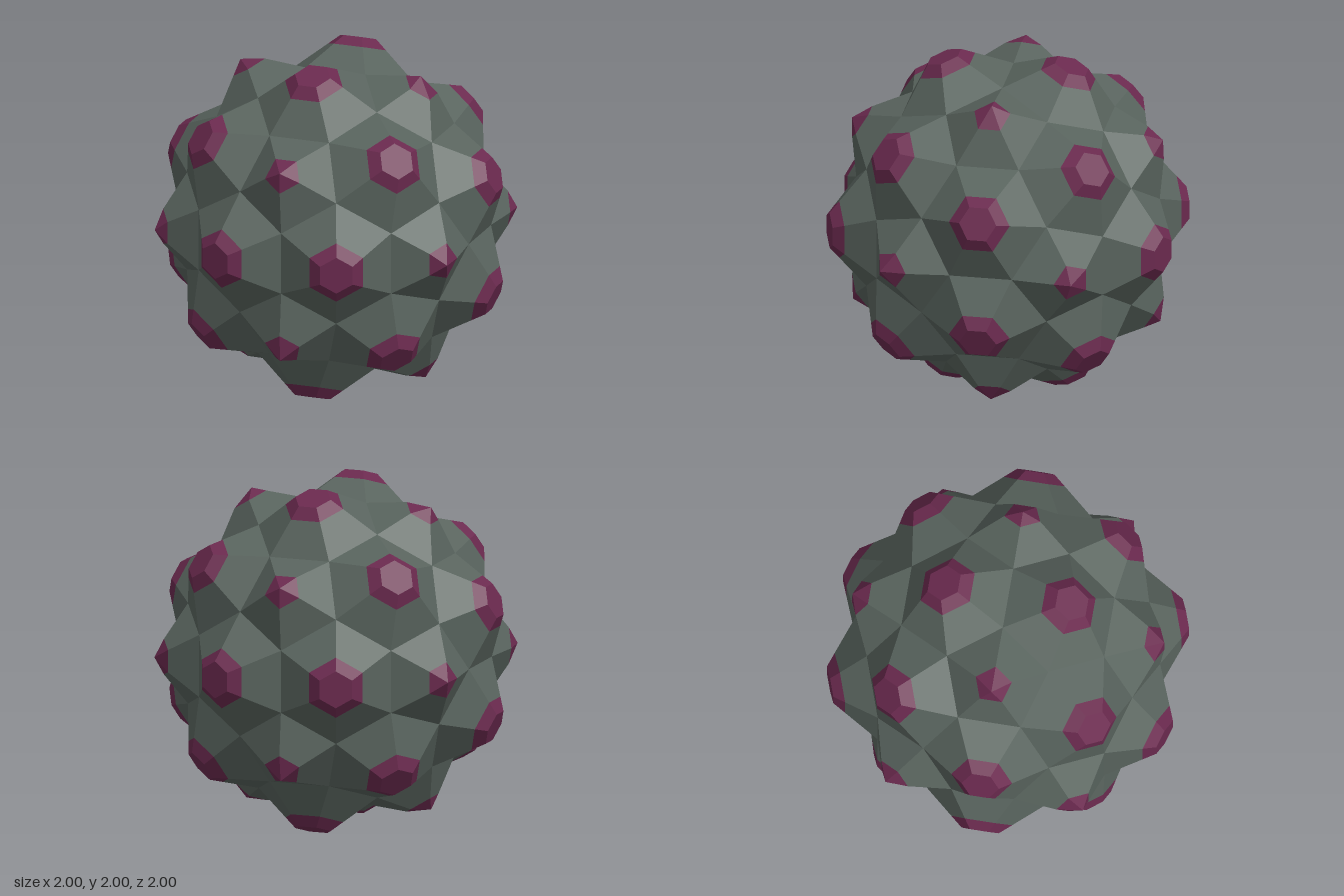
import * as THREE from 'three';

const PHI = (1 + Math.sqrt(5)) / 2;
const SCALE = 0.1815; // half the edge length of the truncated icosahedron

// All sign changes and cyclic permutations of a coordinate triple
function orbit(a, b, c) {
  const found = new Map();
  for (const x of [a, -a]) for (const y of [b, -b]) for (const z of [c, -c]) {
    for (const p of [[x, y, z], [z, x, y], [y, z, x]]) {
      found.set(p.map((n) => (n + 0).toFixed(3).replace('-0.000', '0.000')).join(), new THREE.Vector3(...p));
    }
  }
  return [...found.values()];
}

// Corners of the underlying truncated icosahedron
const corners = [
  ...orbit(0, 1, 3 * PHI),
  ...orbit(1, 2 + PHI, 2 * PHI),
  ...orbit(PHI, 2, 2 * PHI + 1),
].map((v) => v.multiplyScalar(SCALE));

// Corners of the face around an axis, counter-clockwise from outside
function faceLoop(axis) {
  const top = Math.max(...corners.map((v) => v.dot(axis)));
  const loop = corners.filter((v) => v.dot(axis) > top - 1e-3);
  const u = loop[0].clone().addScaledVector(axis, -top).normalize();
  const w = axis.clone().cross(u);
  return loop.sort((a, b) => Math.atan2(a.dot(w), a.dot(u)) - Math.atan2(b.dot(w), b.dot(u)));
}

// Shrink a face loop towards its axis and set it at a given height
function ring(loop, axis, ratio, height) {
  return loop.map((v) => v.clone().addScaledVector(axis, -v.dot(axis))
    .multiplyScalar(ratio).addScaledVector(axis, height));
}

function addBand(out, lower, upper) {
  lower.forEach((a, i) => {
    const j = (i + 1) % lower.length;
    out.push(a, lower[j], upper[j], a, upper[j], upper[i]);
  });
}

function addFan(out, loop, centre) {
  loop.forEach((a, i) => out.push(a, loop[(i + 1) % loop.length], centre));
}

function facetedMesh(name, points, color) {
  const geometry = new THREE.BufferGeometry().setFromPoints(points);
  geometry.computeVertexNormals();
  const mesh = new THREE.Mesh(geometry, new THREE.MeshStandardMaterial({ color, flatShading: true }));
  mesh.name = name;
  mesh.position.y = 1;
  return mesh;
}

// Slightly uneven points of the twelve five-sided spikes
const spikeTips = [
  [0.52, 0.915, 0], [-0.58, 0.885, 0], [-0.58, -0.88, 0], [0.55, -0.9, 0],
  [0, 0.55, 0.905], [0, -0.58, 0.9], [0, 0.55, -0.9], [0, -0.58, -0.885],
  [-0.9, 0, -0.56], [0.91, 0, -0.53], [-0.885, 0, 0.58], [0.9, 0, 0.58],
];

export function createModel() {
  const hexSides = [], hexCaps = [], pentSides = [], pentTips = [];

  // Six-sided spikes: sloping sides, coloured collar and flat cap
  for (const dir of [...orbit(1, 1, 1), ...orbit(1 / PHI, 0, PHI)]) {
    const axis = dir.normalize();
    const base = faceLoop(axis);
    const collar = ring(base, axis, 0.485, 0.98);
    const cap = ring(base, axis, 0.2975, 1.037);
    addBand(hexSides, base, collar);
    addBand(hexCaps, collar, cap);
    addFan(hexCaps, cap, axis.clone().multiplyScalar(1.037));
  }

  // Five-sided spikes: sloping sides and coloured pointed tip
  for (const tip of spikeTips) {
    const axis = new THREE.Vector3(...tip.map((n) => Math.sign(n) * (Math.abs(n) > 0.7 ? PHI : Math.abs(n) > 0.3 ? 1 : 0)));
    axis.normalize();
    const base = faceLoop(axis);
    const collar = ring(base, axis, 0.356, 0.996);
    addBand(pentSides, base, collar);
    addFan(pentTips, collar, new THREE.Vector3(...tip));
  }

  const group = new THREE.Group();
  group.name = 'spikedBall';
  group.add(
    facetedMesh('sixSidedSpikes', hexSides, 0x59645e),
    facetedMesh('sixSidedCaps', hexCaps, 0x6b2a4f),
    facetedMesh('fiveSidedSpikes', pentSides, 0x59645e),
    facetedMesh('fiveSidedTips', pentTips, 0x6b2a4f),
  );
  return group;
}
